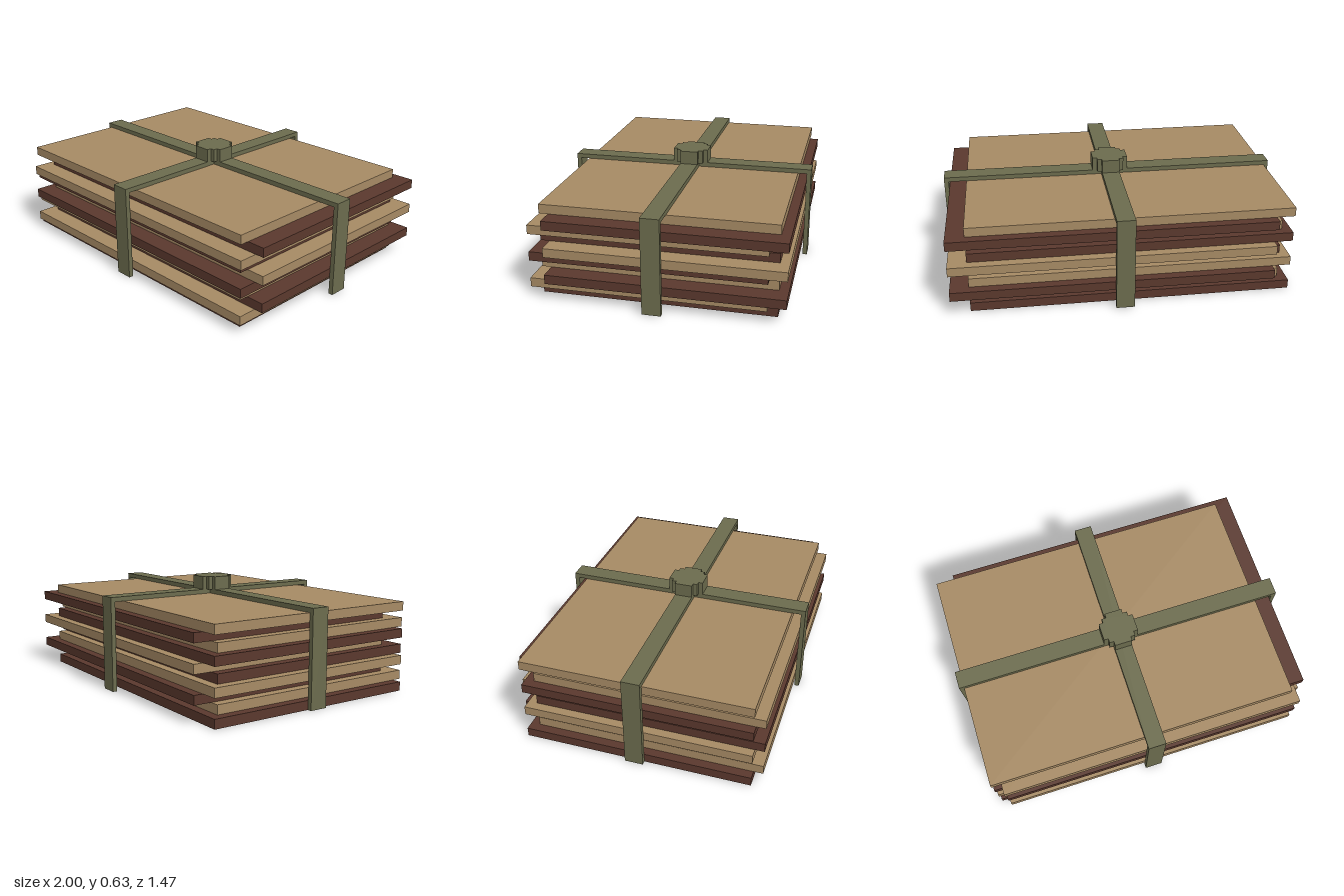
import * as THREE from 'three';

export function createModel() {
  const u = 1 / 38; // the model sits on a fine regular grid
  const root = new THREE.Group();
  root.name = 'tiedStack';
  const material = (name, color) => {
    const m = new THREE.MeshStandardMaterial({ color });
    m.name = name;
    return m;
  };
  const tan = material('tan', 0xa68a64);
  const brown = material('darkBrown', 0x5a382d);
  const olive = material('oliveStrap', 0x6b6b4d);

  const add = (name, geometry, mat, x = 0, y = 0, z = 0) => {
    const mesh = new THREE.Mesh(geometry, mat);
    mesh.name = name;
    mesh.position.set(x, y, z);
    root.add(mesh);
    return mesh;
  };

  // Ten sheets, alternating in colour, shifted in a cycle of three
  const sheetGeometry = new THREE.BoxGeometry(70 * u, 2 * u, 50 * u);
  const shifts = [[-2, 0], [0, 2], [2, -2]];
  for (let i = 0; i < 10; i++) {
    const [dx, dz] = shifts[i % 3];
    add(`sheet${i + 1}`, sheetGeometry, i % 2 ? tan : brown, dx * u, (2 * i + 1) * u, dz * u);
  }

  // Straps: an upside-down U cut from a flat shape, open at the bottom
  const strapGeometry = (half) => {
    const s = new THREE.Shape([
      [-half, 0], [-half + 1, 0], [-half + 1, 20], [half - 1, 20],
      [half - 1, 0], [half, 0], [half, 21], [-half, 21],
    ].map(([x, y]) => new THREE.Vector2(x * u, y * u)));
    return new THREE.ExtrudeGeometry(s, { depth: 4 * u, bevelEnabled: false }).translate(0, 0, -2 * u);
  };
  add('longStrap', strapGeometry(38), olive);
  add('crossStrap', strapGeometry(28).rotateY(Math.PI / 2), olive);

  // Knot: a stepped round block where the straps cross
  const quarter = [[4, -2], [4, 2], [3, 2], [3, 3], [2, 3]];
  const outline = [];
  for (let q = 0; q < 4; q++) {
    for (const [a, b] of quarter) {
      const [x, y] = [[a, b], [-b, a], [-a, -b], [b, -a]][q];
      outline.push(new THREE.Vector2(x * u, y * u));
    }
  }
  const knot = new THREE.ExtrudeGeometry(new THREE.Shape(outline), { depth: 3 * u, bevelEnabled: false });
  add('knot', knot.rotateX(-Math.PI / 2), olive, 0, 21 * u, 0);

  return root;
}
